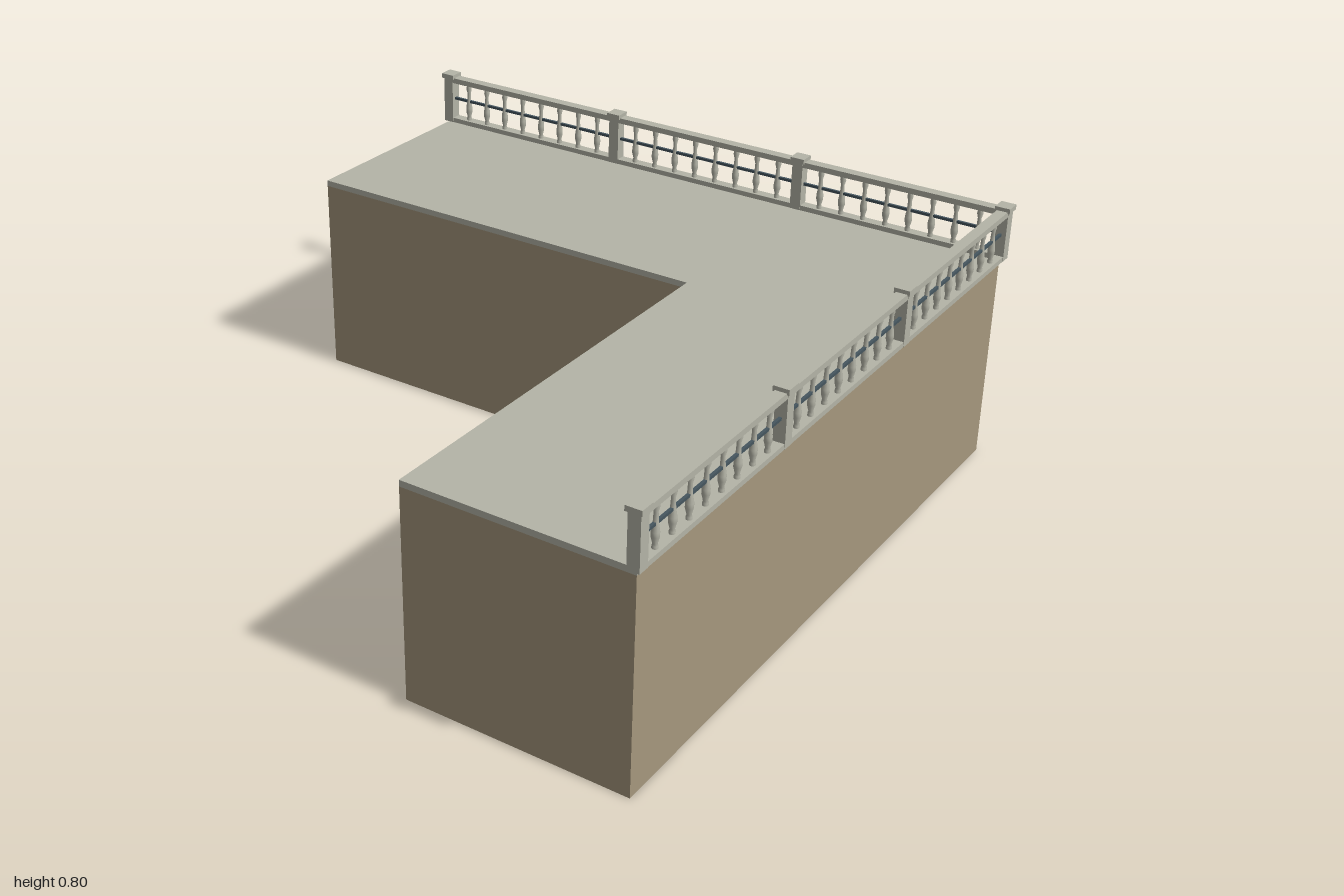
import * as THREE from 'three';

const material = (name, color) => {
  const m = new THREE.MeshStandardMaterial({ color });
  m.name = name;
  return m;
};

const EDGE = 0.975;   // centre line of the balustrade and outer wall
const INNER = 0.325;  // inner corner of the L
const FLOOR = 0.63;   // top of the slab
const BAY = 0.65;     // distance between posts

export function createModel() {
  const group = new THREE.Group();
  const wall = material('brown wall', 0xa5977d);
  const stone = material('grey stone', 0xb4b4a7);
  const steel = material('dark steel', 0x46565f);

  const add = (parent, name, geometry, mat, x = 0, y = 0, z = 0) => {
    const mesh = new THREE.Mesh(geometry, mat);
    mesh.name = name;
    mesh.position.set(x, y, z);
    parent.add(mesh);
    return mesh;
  };

  // L-shaped plan, drawn as (x, -z) and raised along y
  const plan = new THREE.Shape([
    [-EDGE, EDGE], [-EDGE, INNER], [INNER, INNER],
    [INNER, -EDGE], [EDGE, -EDGE], [EDGE, EDGE],
  ].map(([x, y]) => new THREE.Vector2(x, y)));
  const raise = (height) => new THREE.ExtrudeGeometry(plan, { depth: height, bevelEnabled: false })
    .rotateX(-Math.PI / 2);
  add(group, 'body', raise(0.612), wall);
  add(group, 'terraceSlab', raise(FLOOR - 0.612), stone, 0, 0.612, 0);

  // Turned baluster with a low belly
  const baluster = new THREE.LatheGeometry([
    [0.008, 0.643], [0.008, 0.652], [0.006, 0.657], [0.0105, 0.675],
    [0.0105, 0.688], [0.007, 0.71], [0.0055, 0.738], [0.009, 0.752], [0.007, 0.769],
  ].map(([r, y]) => new THREE.Vector2(r, y)), 10);

  const shaft = new THREE.BoxGeometry(0.034, 0.15, 0.034);
  const cap = new THREE.BoxGeometry(0.045, 0.015, 0.045);
  const addPost = (x, z) => {
    const post = new THREE.Group();
    post.name = 'post';
    post.position.set(x, FLOOR, z);
    add(post, 'postShaft', shaft, stone, 0, 0.075, 0);
    add(post, 'postCap', cap, stone, 0, 0.1575, 0);
    group.add(post);
  };

  // One straight run: rails, steel bar and three bays of balusters
  const makeRun = (name) => {
    const run = new THREE.Group();
    run.name = name;
    const length = 2 * EDGE;
    add(run, 'bottomRail', new THREE.BoxGeometry(length, 0.015, 0.032), stone, 0, 0.6375, 0);
    add(run, 'topRail', new THREE.BoxGeometry(length, 0.017, 0.032), stone, 0, 0.7755, 0);
    add(run, 'middleBar', new THREE.BoxGeometry(length, 0.008, 0.008), steel, 0, 0.71, 0);
    for (let bay = 0; bay < 3; bay++) {
      for (let i = 1; i <= 8; i++) {
        add(run, 'baluster', baluster, stone, -EDGE + BAY * (bay + i / 9), 0, 0);
      }
    }
    group.add(run);
    return run;
  };

  makeRun('backBalustrade').position.z = -EDGE;
  const side = makeRun('leftBalustrade');
  side.rotation.y = Math.PI / 2;
  side.position.x = EDGE;

  // Posts along the back, then along the side past the shared corner
  for (let i = 0; i < 4; i++) addPost(-EDGE + BAY * i, -EDGE);
  for (let i = 1; i < 4; i++) addPost(EDGE, -EDGE + BAY * i);

  return group;
}
